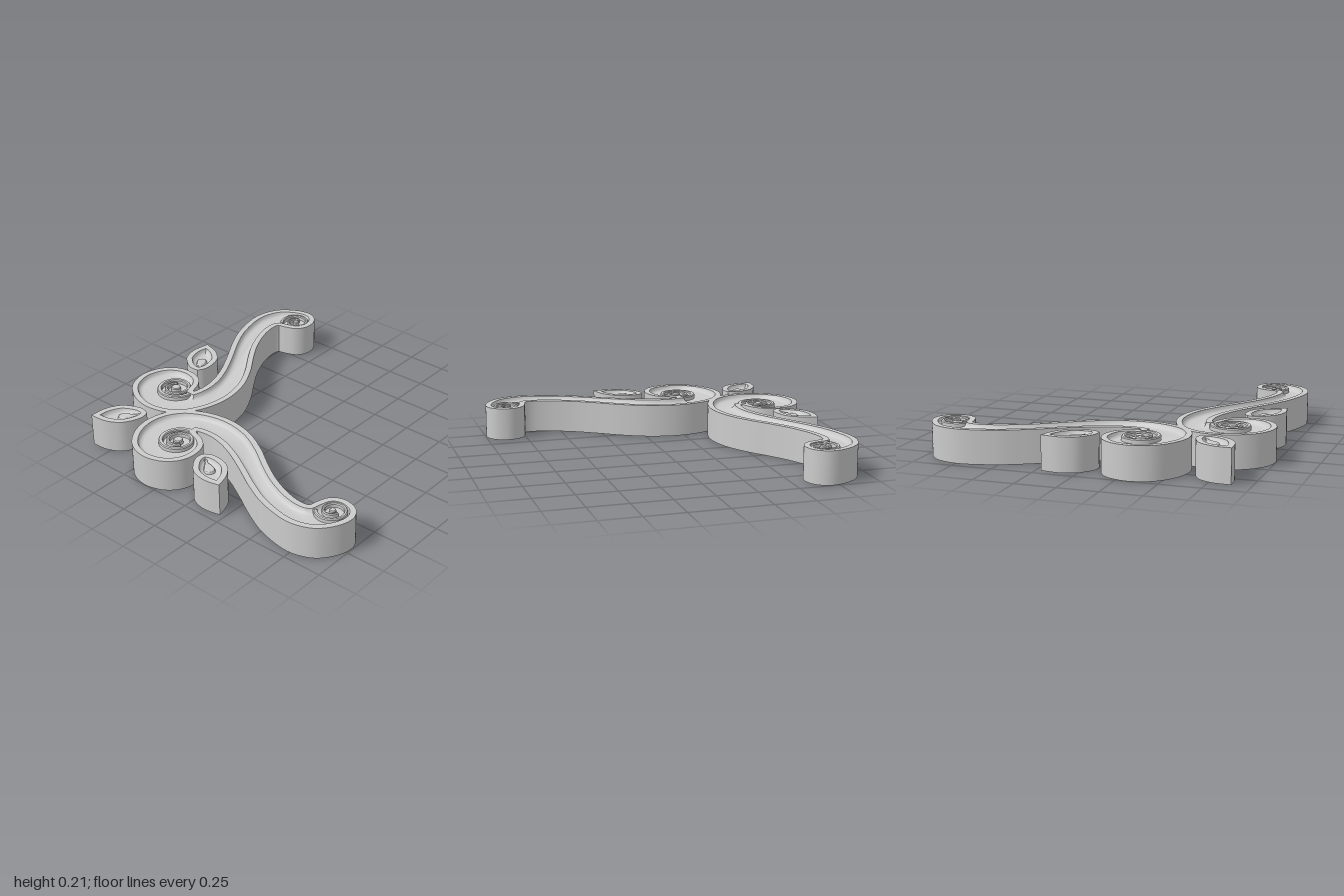
import * as THREE from 'three';
import { toCreasedNormals } from 'three/addons/utils/BufferGeometryUtils.js';

const H = 0.205;
const material = new THREE.MeshStandardMaterial({ color: 0xcccccc });
const V = (x, z) => new THREE.Vector2(x, z);
const same = (p) => p;
const mirror = (p) => V(-p.y, -p.x); // swaps the two arms of the corner

// Closed smooth outline through a few points
function smooth(points, n) {
  const curve = new THREE.CatmullRomCurve3(points.map(([x, z]) => new THREE.Vector3(x, 0, z)), true);
  return curve.getSpacedPoints(n).slice(0, n).map((p) => V(p.x, p.z));
}

// Moves a counter-clockwise outline inwards
function inset(pts, d) {
  const n = pts.length;
  const normal = (a, b) => V(a.y - b.y, b.x - a.x).normalize();
  return pts.map((p, i) => {
    const n1 = normal(pts[(i + n - 1) % n], p);
    const n2 = normal(p, pts[(i + 1) % n]);
    const k = d / Math.max(1 + n1.dot(n2), 0.5);
    return V(p.x + (n1.x + n2.x) * k, p.y + (n1.y + n2.y) * k);
  });
}

// Plate whose top and bottom follow a relief given as [inset, depth] steps
function plate(name, outline, relief, height = H, base = 0) {
  const pts = THREE.ShapeUtils.area(outline) < 0 ? outline.slice().reverse() : outline;
  const n = pts.length;
  const rings = [
    ...relief.slice().reverse().map(([d, y]) => [d, base + y]),
    ...relief.map(([d, y]) => [d, base + height - y]),
  ];
  const pos = [];
  const idx = [];
  for (const [d, y] of rings) for (const p of inset(pts, d)) pos.push(p.x, y, p.y);
  for (let r = 0; r < rings.length - 1; r++) {
    for (let i = 0; i < n; i++) {
      const a = r * n + i, b = r * n + ((i + 1) % n);
      idx.push(a, a + n, b, b, a + n, b + n);
    }
  }
  const top = (rings.length - 1) * n;
  for (const [a, b, c] of THREE.ShapeUtils.triangulateShape(inset(pts, rings[0][0]), [])) {
    idx.push(a, b, c, top + a, top + c, top + b);
  }
  const geometry = new THREE.BufferGeometry();
  geometry.setAttribute('position', new THREE.Float32BufferAttribute(pos, 3));
  geometry.setIndex(idx);
  const mesh = new THREE.Mesh(toCreasedNormals(geometry, 0.55), material);
  mesh.name = name;
  return mesh;
}

const DISH = [[0, 0], [0.036, 0], [0.041, 0.017], [0.05, 0.026], [0.064, 0.03]];
const RIDGE = [[0, 0.008], [0.005, 0.002]];

// S-shaped arm with a large scroll at one end and a small curl at the other
const ARM = [
  [-0.48, 0.465], [-0.35, 0.4], [-0.195, 0.377], [-0.02, 0.41], [0.14, 0.49], [0.3, 0.6],
  [0.43, 0.68], [0.59, 0.745], [0.69, 0.76], [0.728, 0.75], [0.738, 0.71], [0.765, 0.635],
  [0.81, 0.597], [0.87, 0.586], [0.95, 0.615], [0.993, 0.685], [0.98, 0.78], [0.905, 0.89],
  [0.82, 0.935], [0.715, 0.95], [0.51, 0.905], [0.35, 0.83], [0.19, 0.735], [0.03, 0.648],
  [-0.1, 0.6], [-0.2, 0.588], [-0.275, 0.603], [-0.19, 0.64], [-0.135, 0.69], [-0.107, 0.78],
  [-0.12, 0.87], [-0.175, 0.945], [-0.25, 0.985], [-0.34, 0.997], [-0.46, 0.955], [-0.55, 0.85],
  [-0.59, 0.72], [-0.575, 0.6], [-0.54, 0.53],
];

// Ribbon winding inwards from radius r0 to r1
function spiral(cx, cz, r0, r1, start, turns, width) {
  const outer = [], inner = [];
  const n = Math.round(turns * 44);
  for (let i = 0; i <= n; i++) {
    const t = i / n;
    const a = start - t * turns * Math.PI * 2;
    const r = r0 + (r1 - r0) * t;
    const w = (width / 2) * (1 - 0.4 * t);
    outer.push(V(cx + Math.cos(a) * (r + w), cz + Math.sin(a) * (r + w)));
    inner.push(V(cx + Math.cos(a) * (r - w), cz + Math.sin(a) * (r - w)));
  }
  return [...outer, ...inner.reverse()];
}

function circle(cx, cz, r) {
  return Array.from({ length: 28 }, (_, i) => {
    const a = (i / 28) * Math.PI * 2;
    return V(cx + r * Math.cos(a), cz + r * Math.sin(a));
  });
}

function scrollArm(name, map) {
  const group = new THREE.Group();
  group.name = name;
  const add = (part, pts, relief) => group.add(plate(part, pts.map(map), relief));
  add('armBody', smooth(ARM, 320), DISH);
  add('largeScroll', spiral(-0.3, 0.73, 0.122, 0.048, -Math.PI * 0.42, 1.7, 0.03), RIDGE);
  add('largeScrollButton', circle(-0.3, 0.73, 0.03), RIDGE);
  add('smallCurl', spiral(0.853, 0.7, 0.097, 0.034, Math.PI * 0.8, 1.4, 0.024), RIDGE);
  add('smallCurlButton', circle(0.853, 0.7, 0.02), RIDGE);
  return group;
}

// Leaf half-profiles: [distance along axis, half width]
const LEAF = [[0, 0], [0.012, 0.03], [0.04, 0.06], [0.09, 0.085], [0.15, 0.1], [0.21, 0.09], [0.27, 0.061], [0.338, 0]];
const DROP = [[0.035, 0], [0.07, 0.012], [0.11, 0.028], [0.145, 0.034], [0.17, 0.024], [0.18, 0]];

function leaf(name, x, z, dx, dz, map) {
  const axis = V(dx, dz).normalize();
  const outline = (profile) => {
    const half = new THREE.SplineCurve(profile.map(([s, w]) => V(s, w))).getPoints(28);
    const full = [...half, ...half.slice(1, -1).reverse().map((p) => V(p.x, -p.y))];
    return full.map((p) => map(V(x + axis.x * p.x - axis.y * p.y, z + axis.y * p.x + axis.x * p.y)));
  };
  const group = new THREE.Group();
  group.name = name;
  group.add(plate('leafBody', outline(LEAF), DISH, H + 0.004, -0.002 + 0.002));
  group.add(plate('leafDrop', outline(DROP), [[0, 0.026], [0.006, 0.012], [0.012, 0.008]]));
  return group;
}

export function createModel() {
  const model = new THREE.Group();
  model.name = 'cornerOrnament';
  model.add(scrollArm('frontArm', same), scrollArm('sideArm', mirror));
  model.add(leaf('frontLeaf', -0.07, 0.76, 0.852, 0.524, same));
  model.add(leaf('sideLeaf', -0.07, 0.76, 0.852, 0.524, mirror));
  model.add(leaf('cornerLeaf', -0.645, 0.645, -1, 1, same));
  return model;
}
